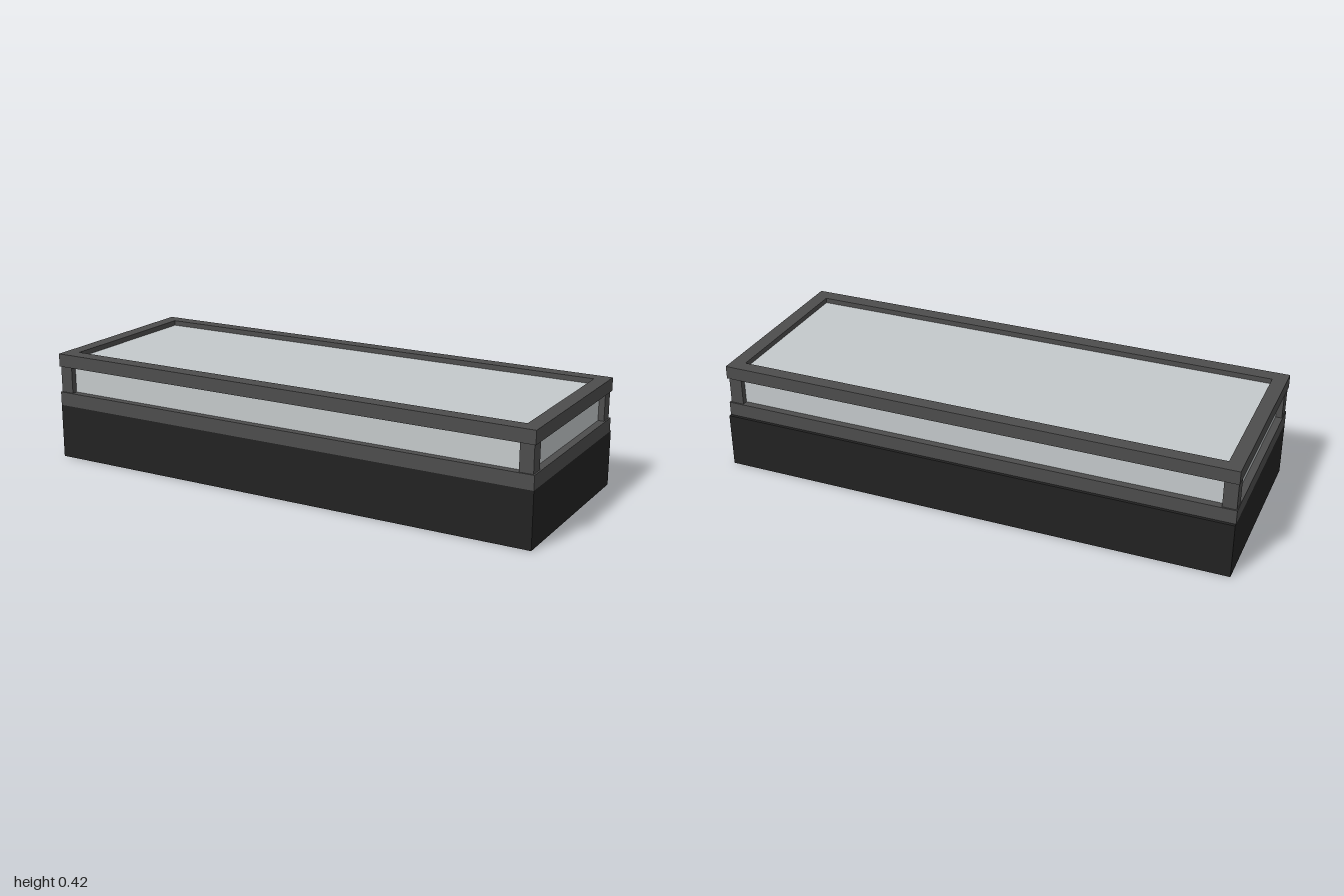
import * as THREE from 'three';

const material = (name, color) => {
  const m = new THREE.MeshStandardMaterial({ color });
  m.name = name;
  return m;
};

export function createModel() {
  const group = new THREE.Group();
  group.name = 'displayCase';
  const black = material('blackBase', 0x222222);
  const grey = material('greyFrame', 0x4d4d4d);
  const glass = material('paleGlass', 0xc4c9cb);

  // box given by its minimum and maximum corners
  const box = (name, mat, x0, x1, y0, y1, z0, z1) => {
    const mesh = new THREE.Mesh(new THREE.BoxGeometry(x1 - x0, y1 - y0, z1 - z0), mat);
    mesh.position.set((x0 + x1) / 2, (y0 + y1) / 2, (z0 + z1) / 2);
    mesh.name = name;
    group.add(mesh);
  };

  // rectangular ring lying flat, extruded upwards
  const ring = (name, y0, y1) => {
    const shape = new THREE.Shape([[-1, -0.38], [1, -0.38], [1, 0.368], [-1, 0.368]].map(p => new THREE.Vector2(...p)));
    shape.holes.push(new THREE.Path([[-0.945, -0.322], [-0.945, 0.315], [0.945, 0.315], [0.945, -0.322]].map(p => new THREE.Vector2(...p))));
    const geo = new THREE.ExtrudeGeometry(shape, { depth: y1 - y0, bevelEnabled: false });
    geo.rotateX(-Math.PI / 2);
    const mesh = new THREE.Mesh(geo, grey);
    mesh.position.y = y0;
    mesh.name = name;
    group.add(mesh);
  };

  // hollow plinth, open underneath
  const top = 0.213;
  box('plinthFront', black, -1, 1, 0, top, 0.374, 0.38);
  box('plinthBack', black, -1, 1, 0, top, -0.38, -0.367);
  for (const s of [-1, 1]) {
    const a = s * 1, b = s * 0.994;
    box('plinthEnd', black, Math.min(a, b), Math.max(a, b), 0, top, -0.368, 0.375);
  }

  // frame rails and corner posts
  ring('lowerRail', top, 0.267);
  ring('upperRail', 0.371, 0.422);
  for (const [x0, x1] of [[-0.997, -0.945], [0.942, 0.994]]) {
    box('frontPost', grey, x0, x1, 0.267, 0.371, 0.32, 0.374);
    box('backPost', grey, x0, x1, 0.267, 0.371, -0.362, -0.311);
  }

  // panes: lid, floor, long sides, ends
  box('lidPane', glass, -0.945, 0.945, 0.396, 0.402, -0.315, 0.322);
  box('floorPane', glass, -0.945, 0.945, 0.218, 0.224, -0.315, 0.322);
  box('frontPane', glass, -0.945, 0.942, 0.267, 0.366, 0.345, 0.351);
  box('backPane', glass, -0.945, 0.942, 0.267, 0.366, -0.34, -0.334);
  for (const x of [-0.97, 0.968]) {
    box('endPane', glass, x - 0.003, x + 0.003, 0.267, 0.366, -0.311, 0.32);
  }

  // small block under the case
  box('centreBlock', grey, -0.011, 0.011, 0.015, 0.037, -0.011, 0.011);
  return group;
}
